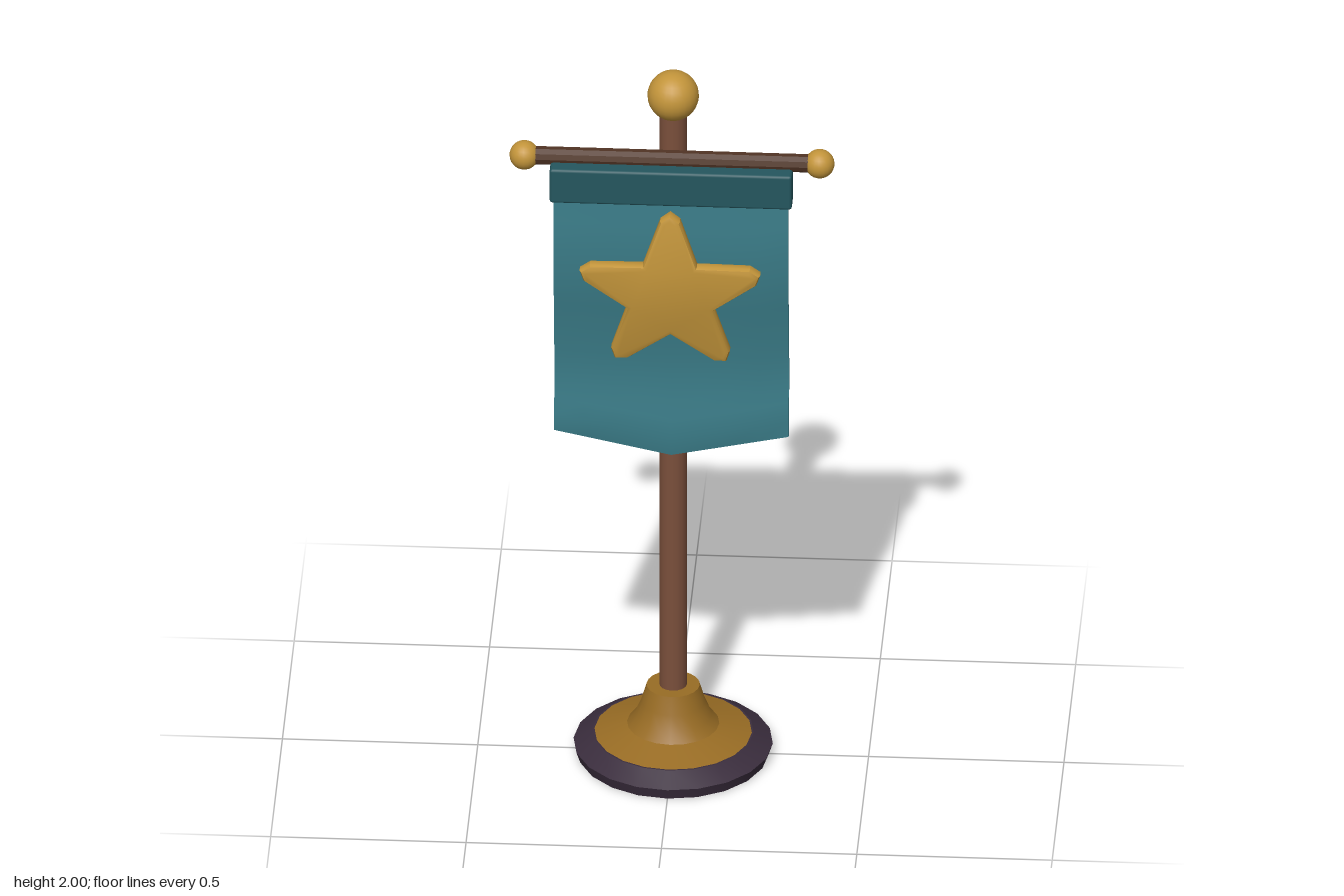
import * as THREE from 'three';
import { toCreasedNormals } from 'three/addons/utils/BufferGeometryUtils.js';
import { RoundedBoxGeometry } from 'three/addons/geometries/RoundedBoxGeometry.js';

const mat = (name, color) => {
  const m = new THREE.MeshStandardMaterial({ color });
  m.name = name;
  return m;
};

// depth of the hanging cloth at a given height
const hang = new THREE.SplineCurve([
  [0.9, 0.08], [1.0, 0.07], [1.15, 0.057], [1.3, 0.07], [1.42, 0.088],
  [1.55, 0.094], [1.67, 0.085], [1.78, 0.08],
].map(([y, z]) => new THREE.Vector2(y, z))).getPoints(70);
function clothZ(y) {
  const i = hang.findIndex((p) => p.x >= y);
  if (i < 1) return hang[i < 0 ? hang.length - 1 : 0].y;
  const a = hang[i - 1], b = hang[i];
  return a.y + (b.y - a.y) * (y - a.x) / (b.x - a.x);
}

// move every vertex of a geometry by a rule
function reshape(geometry, rule) {
  const p = geometry.attributes.position, v = new THREE.Vector3();
  for (let i = 0; i < p.count; i++) {
    rule(v.fromBufferAttribute(p, i));
    p.setXYZ(i, v.x, v.y, v.z);
  }
  return toCreasedNormals(geometry, 0.5);
}

function clothGeometry() {
  const rows = 16, top = 1.76;
  return reshape(new THREE.BoxGeometry(0.6, 1, 0.034, 8, rows, 1), (v) => {
    const t = 0.5 - v.y;
    const bottom = 0.92 + 0.06 * Math.abs(v.x) / 0.3;
    // thin the hem and the side edges
    if (t > 0.99) v.z *= 0.25;
    else if (Math.abs(v.x) > 0.29) v.z *= 0.6;
    v.y = top + (bottom - top) * (t > 0.99 ? 1 : t);
    v.z += clothZ(v.y);
  });
}

function starGeometry() {
  const shape = new THREE.Shape();
  // five blunt tips with inner corners between them
  for (let i = 0; i < 5; i++) {
    const a = Math.PI / 2 + i * Math.PI * 0.4;
    for (const [da, r] of [[-0.07, 0.217], [0, 0.228], [0.07, 0.217], [Math.PI / 5, 0.103]]) {
      const x = r * Math.cos(a + da), y = r * Math.sin(a + da);
      if (i === 0 && da === -0.07) shape.moveTo(x, y);
      else shape.lineTo(x, y);
    }
  }
  shape.closePath();
  const g = new THREE.ExtrudeGeometry(shape, {
    depth: 0.02, bevelEnabled: true, bevelThickness: 0.01, bevelSize: 0.012, bevelSegments: 2, steps: 1,
  });
  g.translate(0, 1.415, -0.01);
  return reshape(g, (v) => { v.z += clothZ(v.y) + 0.038; });
}

export function createModel() {
  const gold = mat('gold', 0xc2943a);
  const darkGold = mat('dark gold', 0x986c24);
  const wood = mat('brown wood', 0x7a4f3b);
  const darkWood = mat('dark wood', 0x503424);
  const teal = mat('teal cloth', 0x3a7b87);
  const darkTeal = mat('dark teal cloth', 0x24565e);
  const plum = mat('dark plum', 0x3a2d3d);

  const model = new THREE.Group();
  model.name = 'standingBanner';
  const add = (name, geometry, material, x = 0, y = 0, z = 0) => {
    const m = new THREE.Mesh(geometry, material);
    m.name = name;
    m.position.set(x, y, z);
    model.add(m);
    return m;
  };
  const lathe = (points, sides) => toCreasedNormals(
    new THREE.LatheGeometry(points.map(([r, y]) => new THREE.Vector2(r, y)), sides), 0.45);

  // stepped foot
  add('footRim', lathe([[0, 0], [0.245, 0], [0.255, 0.03], [0.206, 0.06], [0, 0.06]], 20), plum);
  add('footCone', lathe([[0.208, 0.058], [0.118, 0.085], [0.098, 0.11], [0.082, 0.15],
    [0.068, 0.197], [0, 0.197]], 20), darkGold);

  // pole and top ball
  add('pole', new THREE.CylinderGeometry(0.035, 0.035, 1.71, 16), wood, 0, 1.045);
  add('poleBall', new THREE.SphereGeometry(0.066, 24, 16), gold, 0, 1.934);

  // crossbar with an end ball on each side
  const bar = toCreasedNormals(new THREE.CylinderGeometry(0.024, 0.024, 0.73, 10), 0.3);
  add('crossbar', bar, darkWood, 0, 1.774, 0.05).rotation.z = Math.PI / 2;
  for (const side of [-1, 1]) {
    add(side > 0 ? 'leftBarBall' : 'rightBarBall',
      new THREE.SphereGeometry(0.038, 20, 14), gold, side * 0.378, 1.774, 0.05);
  }

  // banner
  add('bannerSleeve', new RoundedBoxGeometry(0.62, 0.098, 0.056, 1, 0.007), darkTeal, 0, 1.717, 0.083);
  add('bannerCloth', clothGeometry(), teal);
  add('star', starGeometry(), gold);
  return model;
}
